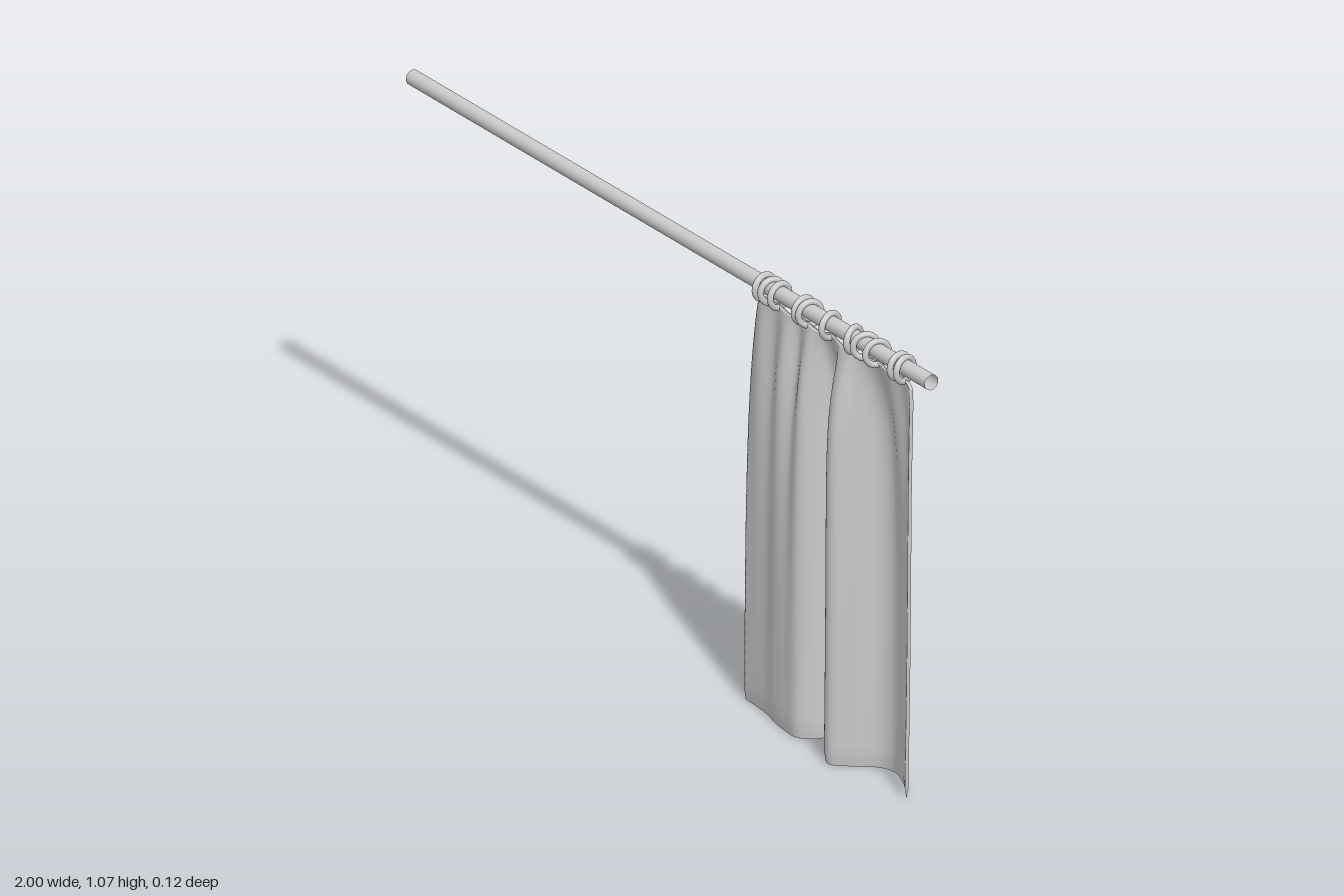
import * as THREE from 'three';

const material = new THREE.MeshStandardMaterial({ color: 0xcccccc, side: THREE.DoubleSide });

// x position and twist of every ring
const RINGS = [
  [0.356, 0.12], [0.385, -0.15], [0.415, 0.12], [0.507, 0.12], [0.531, -0.15], [0.61, 0.22],
  [0.70, 0.35], [0.745, -0.35], [0.79, -0.18], [0.875, 0.15], [0.897, 0.22],
];

// Fold line of the cloth at the hem and where it is gathered (x, z);
// both lists have the same length, so each fold runs from one to the other
const curve = (pts) =>
  new THREE.CatmullRomCurve3(pts.map(([x, z]) => new THREE.Vector3(x, 0, z)), false, 'centripetal');
const hem = curve([
  [0.297, 0.008], [0.34, 0.010], [0.39, 0.016], [0.44, 0.028], [0.485, 0.035], [0.53, 0.034],
  [0.558, 0.008], [0.582, -0.05], [0.605, -0.055], [0.635, -0.01], [0.665, 0.05], [0.69, 0.057],
  [0.725, 0.025], [0.77, -0.025], [0.81, -0.037], [0.87, -0.018], [0.915, 0.008], [0.938, 0.023],
]);
const heading = curve([
  [0.342, 0.0], [0.365, 0.018], [0.41, -0.008], [0.46, 0.03], [0.50, -0.012], [0.545, 0.034],
  [0.565, 0.015], [0.59, -0.03], [0.61, -0.042], [0.64, -0.012], [0.67, 0.045], [0.695, 0.055],
  [0.73, 0.015], [0.77, -0.035], [0.80, -0.042], [0.84, -0.012], [0.885, -0.025], [0.925, 0.0],
]);

function curtainGeometry() {
  const U = 136, V = 60, TOP = 1.016, HALF = 0.004;
  const a = hem.getPoints(U), b = heading.getPoints(U);
  const positions = [], indices = [], loop = 2 * (U + 1);

  for (let j = 0; j <= V; j++) {
    // rows are denser near the gathered top; the end rows close the sheet
    const v = 1 - Math.pow(1 - j / V, 1.6);
    const drop = TOP * (1 - v);
    const blend = Math.exp(-drop / 0.28);
    const fullness = 0.1 + 0.9 * Math.tanh(drop / 0.14);
    const half = j === 0 || j === V ? 0 : HALF;
    const row = a.map((p, i) => {
      const q = p.clone().lerp(b[i], blend);
      q.z *= fullness;
      // right side bellies out slightly, top sags between rings and at the corners
      q.x += 0.008 * Math.sin(Math.PI * v) * (i / U);
      const edge = Math.min(i, U - i) / U;
      const nearest = Math.min(...RINGS.map(([x]) => Math.abs(x - q.x)));
      const sag = 0.012 * Math.exp(-edge / 0.015) + 0.006 * Math.min(1, nearest / 0.03);
      q.y = v * TOP - sag * Math.exp(-drop / 0.03);
      return q;
    });
    for (let k = 0; k < loop; k++) {
      const back = k > U;
      const i = back ? 2 * U + 1 - k : k;
      const p = row[i], l = row[Math.max(0, i - 1)], r = row[Math.min(U, i + 1)];
      const dx = r.x - l.x, dz = r.z - l.z, n = Math.hypot(dx, dz);
      const s = (back ? -half : half) / n;
      positions.push(p.x - dz * s, p.y, p.z + dx * s);
    }
  }
  for (let j = 0; j < V; j++) {
    for (let k = 0; k < loop; k++) {
      const n = (k + 1) % loop;
      const p = j * loop + k, q = j * loop + n, r = q + loop, s = p + loop;
      indices.push(p, q, r, p, r, s);
    }
  }
  const g = new THREE.BufferGeometry();
  g.setAttribute('position', new THREE.Float32BufferAttribute(positions, 3));
  g.setIndex(indices);
  g.computeVertexNormals();
  return g;
}

export function createModel() {
  const model = new THREE.Group();
  model.name = 'curtainOnRod';

  // Hollow rod, open at both ends
  const rod = new THREE.Mesh(new THREE.CylinderGeometry(0.0185, 0.0185, 2, 32, 1, true), material);
  rod.name = 'rod';
  rod.rotation.z = Math.PI / 2;
  rod.position.set(0, 1.042, -0.002);
  model.add(rod);

  // Rings hanging on the rod
  const rings = new THREE.Group();
  rings.name = 'rings';
  const ringGeometry = new THREE.TorusGeometry(0.0285, 0.0075, 12, 32).rotateY(Math.PI / 2);
  RINGS.forEach(([x, twist], i) => {
    const ring = new THREE.Mesh(ringGeometry, material);
    ring.name = `ring${i + 1}`;
    ring.position.set(x, 1.036, -0.002);
    ring.rotation.y = twist;
    rings.add(ring);
  });
  model.add(rings);

  // Pleated cloth
  const curtain = new THREE.Mesh(curtainGeometry(), material);
  curtain.name = 'curtain';
  model.add(curtain);

  return model;
}
